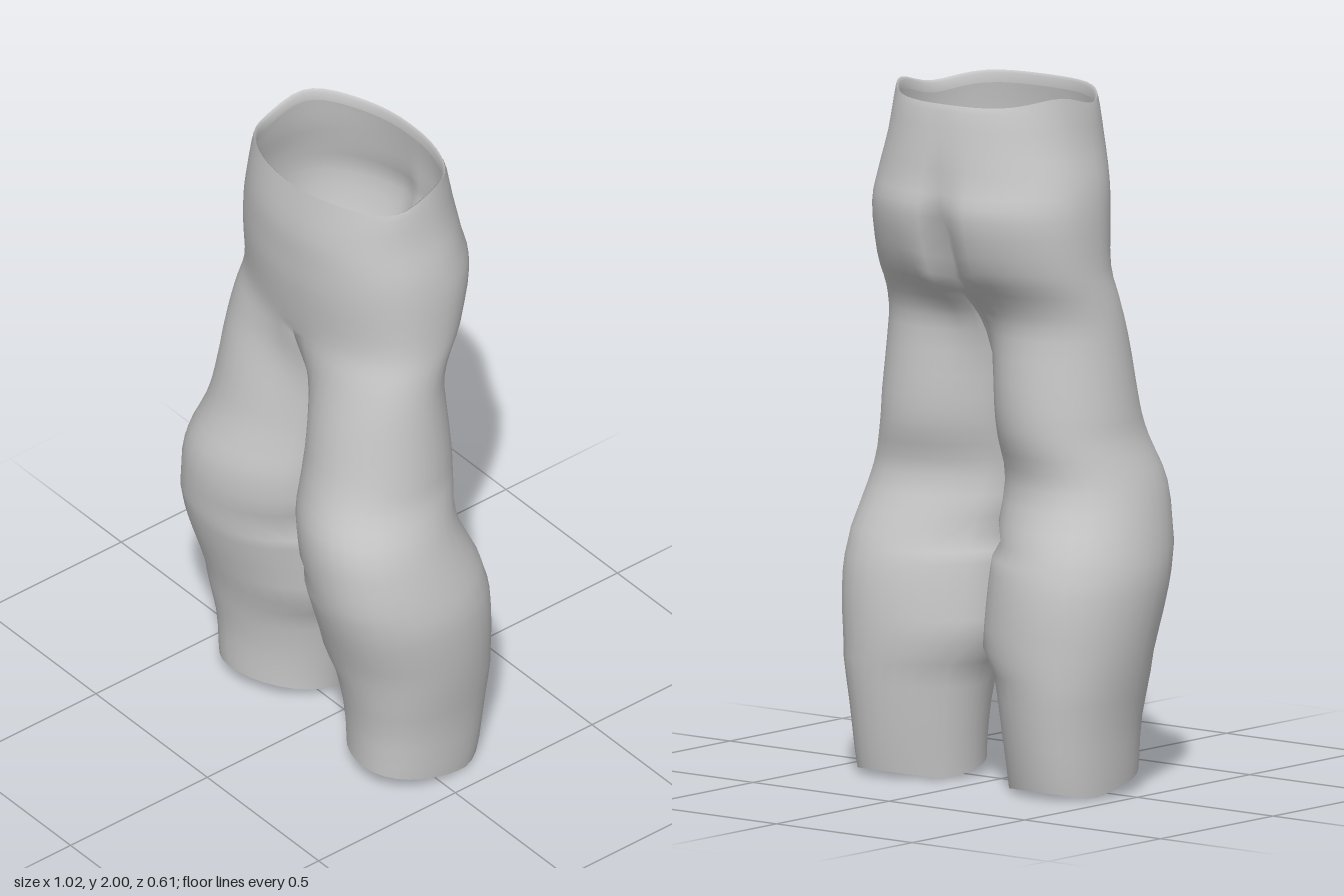
import * as THREE from 'three';
import { mergeVertices } from 'three/addons/utils/BufferGeometryUtils.js';

const OUTER = 24; // segments round the outside of each half
const INNER = 8;  // segments along the inside of each leg
const STEPS = 3;  // rings per profile point
const CROTCH = 4 * STEPS; // ring where the legs part

// Side profile from waist to hem: y, outer x, front z, back z
const PROFILE = [
  [1.985, 0.305, 0.21, -0.25],
  [1.86, 0.325, 0.23, -0.275],
  [1.75, 0.352, 0.228, -0.293],
  [1.65, 0.365, 0.222, -0.312],
  [1.5, 0.37, 0.203, -0.268],
  [1.4, 0.38, 0.21, -0.195],
  [1.3, 0.39, 0.22, -0.158],
  [1.1, 0.41, 0.25, -0.165],
  [1.0, 0.422, 0.275, -0.16],
  [0.87, 0.463, 0.31, -0.14],
  [0.7, 0.5, 0.302, -0.203],
  [0.58, 0.51, 0.275, -0.235],
  [0.4, 0.492, 0.22, -0.246],
  [0.2, 0.457, 0.182, -0.232],
  [0, 0.438, 0.174, -0.205],
];
const RINGS = (PROFILE.length - 1) * STEPS;
const heights = new THREE.SplineCurve(PROFILE.map(([y]) => new THREE.Vector2(y, 0)));
const extents = new THREE.CatmullRomCurve3(PROFILE.map(([, x, f, b]) => new THREE.Vector3(x, f, b)), false, 'catmullrom');

const { lerp, clamp, smoothstep, degToRad } = THREE.MathUtils;
const power = (v, p) => Math.sign(v) * Math.abs(v) ** p;
const bump = (v, width) => Math.exp(-((v / width) ** 2));

// Inner leg: touching, a tiny gap at the knee, then open below the calf
function innerX(y, row) {
  if (row <= CROTCH) return 0;
  const kneeGap = 0.022 * Math.max(0, 1 - Math.abs(y - 0.7) / 0.03);
  return kneeGap - 0.003 + 0.09 * clamp((0.4 - y) / 0.38, 0, 1) ** 0.4;
}

// One closed ring: centre front, round the outside to centre back, then along the inner leg
function ring(row) {
  const y = heights.getPoint(row / RINGS).x;
  const { x: xo, y: zf, z: zb } = extents.getPoint(row / RINGS);
  const xi = innerX(y, row);
  const leg = 1 - smoothstep(y, 1.18, 1.54); // 0 hip, 1 leg
  const crease = 0.07 * bump(y - 1.55, 0.17);
  const fullness = 0.035 * (1 - smoothstep(y, 0.8, 1.2)); // knee and calf sit outward
  const cz = (zf + zb) / 2, rz = (zf - zb) / 2, cx = (xi + xo) / 2, rx = (xo - xi) / 2;
  const points = [];
  for (let k = 0; k < OUTER + INNER; k++) {
    const outside = k <= OUTER;
    const t = outside ? k / OUTER : (k - OUTER) / INNER;
    // leg cross-section, an ellipse fuller on the outside
    const a = degToRad(outside ? 150 - 300 * t : 210 - 60 * t);
    const lx = cx + rx * Math.cos(a) + fullness * Math.sin(a) ** 2;
    const lz = cz + rz * Math.sin(a);
    // half of the hip cross-section, closed by a flat wall on the centre line
    let hx = xi, hz = lerp(zb + crease, zf, t);
    if (outside) {
      const h = Math.PI * (0.5 - t);
      if (k > 0 && k < OUTER) hx = xo * Math.cos(h) ** 0.9;
      hz = cz + rz * power(Math.sin(h), 0.9);
      if (t > 0.5) hz += crease * bump(hx, 0.045);
    }
    const seam = row <= CROTCH && (k === 0 || k >= OUTER);
    const x = seam ? 0 : Math.max(xi, lerp(hx, lx, leg));
    const z = lerp(hz, lz, leg);
    // crotch drops toward the back, hems slope, waist is a little wavy
    let py = y - 0.04 * bump(y - 1.48, 0.1) * clamp((0.2 - z) / 0.45, 0, 1) * bump(x, 0.07);
    py += 0.21 * Math.abs(z + 0.11) * Math.max(0, 1 - y / 0.25);
    if (row === 0) py += 0.014 * Math.cos((z - 0.2) * 21);
    points.push([x, py, z]);
  }
  return points;
}

function buildGeometry(positions, index) {
  const geometry = new THREE.BufferGeometry();
  geometry.setAttribute('position', new THREE.Float32BufferAttribute(positions, 3));
  geometry.setIndex(index);
  const merged = mergeVertices(geometry, 1e-4);
  merged.computeVertexNormals();
  return merged;
}

// Both mirrored halves, joined along the centre seam of the hips
function trousersGeometry() {
  const positions = [], index = [], n = OUTER + INNER;
  for (const side of [1, -1]) {
    const base = positions.length / 3;
    for (let i = 0; i <= RINGS; i++)
      for (const [x, y, z] of ring(i)) positions.push(side * x, y, z);
    for (let i = 0; i < RINGS; i++) {
      const count = i < CROTCH ? OUTER : n; // no inner wall above the crotch
      for (let k = 0; k < count; k++) {
        const a = base + i * n + k, b = base + i * n + (k + 1) % n, c = a + n, d = b + n;
        if (side > 0) index.push(a, c, b, b, c, d);
        else index.push(a, b, c, b, d, c);
      }
    }
  }
  return buildGeometry(positions, index);
}

// Narrow turned-in edge inside the waist
function waistFacingGeometry() {
  const positions = [], index = [], half = ring(0).slice(0, OUTER + 1);
  const loop = [...half, ...half.slice(1, -1).reverse().map(([x, y, z]) => [-x, y, z])];
  const n = loop.length;
  for (const [scale, drop] of [[1, 0], [0.97, 0.008], [0.97, 0.035]])
    for (const [x, y, z] of loop) positions.push(x * scale, y - drop, (z + 0.02) * scale - 0.02);
  for (let r = 0; r < 2; r++)
    for (let k = 0; k < n; k++) {
      const a = r * n + k, b = r * n + (k + 1) % n;
      index.push(a, b, a + n, b, b + n, a + n);
    }
  return buildGeometry(positions, index);
}

export function createModel() {
  const cloth = new THREE.MeshStandardMaterial({ color: 0xc8c8c8, side: THREE.DoubleSide });
  cloth.name = 'grey cloth';
  const model = new THREE.Group();
  model.name = 'trousers';
  const shell = new THREE.Mesh(trousersGeometry(), cloth);
  shell.name = 'trouserLegsAndSeat';
  const facing = new THREE.Mesh(waistFacingGeometry(), cloth);
  facing.name = 'waistFacing';
  model.add(shell, facing);
  return model;
}
